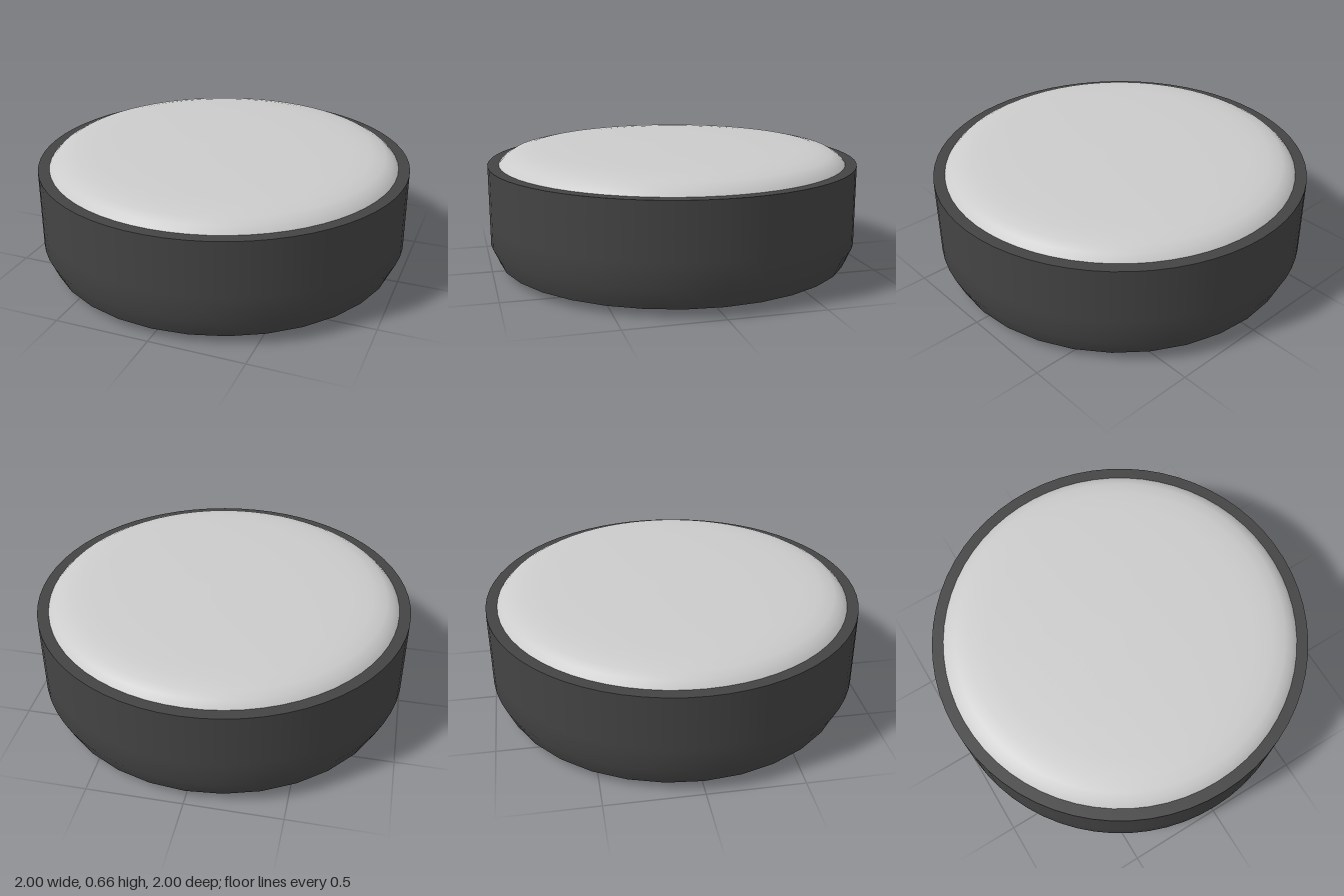
import * as THREE from 'three';

const SEGMENTS = 64;

// Revolve a profile of [radius, height] points, listed from bottom to top
function turned(name, profile, material) {
  const points = profile.map(([r, y]) => new THREE.Vector2(r, y));
  const mesh = new THREE.Mesh(new THREE.LatheGeometry(points, SEGMENTS), material);
  mesh.name = name;
  return mesh;
}

// Flatten every second vertex below a height onto the chord of a 32-sided ring
function coarsen(mesh, maxY, rings) {
  const pos = mesh.geometry.attributes.position;
  const chord = Math.cos((2 * Math.PI) / SEGMENTS);
  for (let i = 0; i < pos.count; i++) {
    const column = Math.floor(i / rings);
    if (column % 2 === 1 && pos.getY(i) < maxY) {
      pos.setX(i, pos.getX(i) * chord);
      pos.setZ(i, pos.getZ(i) * chord);
    }
  }
}

export function createModel() {
  const model = new THREE.Group();
  model.name = 'puck';
  const dark = new THREE.MeshStandardMaterial({ color: 0x444444 });
  const grey = new THREE.MeshStandardMaterial({ color: 0xcccccc });

  // Dark housing: shallow dished base, chamfered side wall and flat rim
  const base = [[0, 0], [0.4, 0.005], [0.79, 0.013], [0.955, 0.045]];
  const wall = [[0.955, 0.045], [1, 0.15], [1, 0.28], [1, 0.572]];
  const rim = [[1, 0.572], [0.93, 0.572]];

  const housing = new THREE.Group();
  housing.name = 'housing';
  const baseMesh = turned('base', base, dark);
  const wallMesh = turned('sideWall', wall, dark);
  coarsen(baseMesh, 0.1, base.length);
  coarsen(wallMesh, 0.1, wall.length);
  housing.add(baseMesh, wallMesh, turned('rim', rim, dark));

  // Softly domed cap seated inside the rim
  const cap = turned('domedCap', [
    [0.945, 0.565], [0.935, 0.579], [0.91, 0.604], [0.87, 0.626], [0.8, 0.642],
    [0.7, 0.65], [0.55, 0.656], [0.4, 0.66], [0.2, 0.663], [0, 0.664],
  ], grey);

  model.add(housing, cap);
  return model;
}
